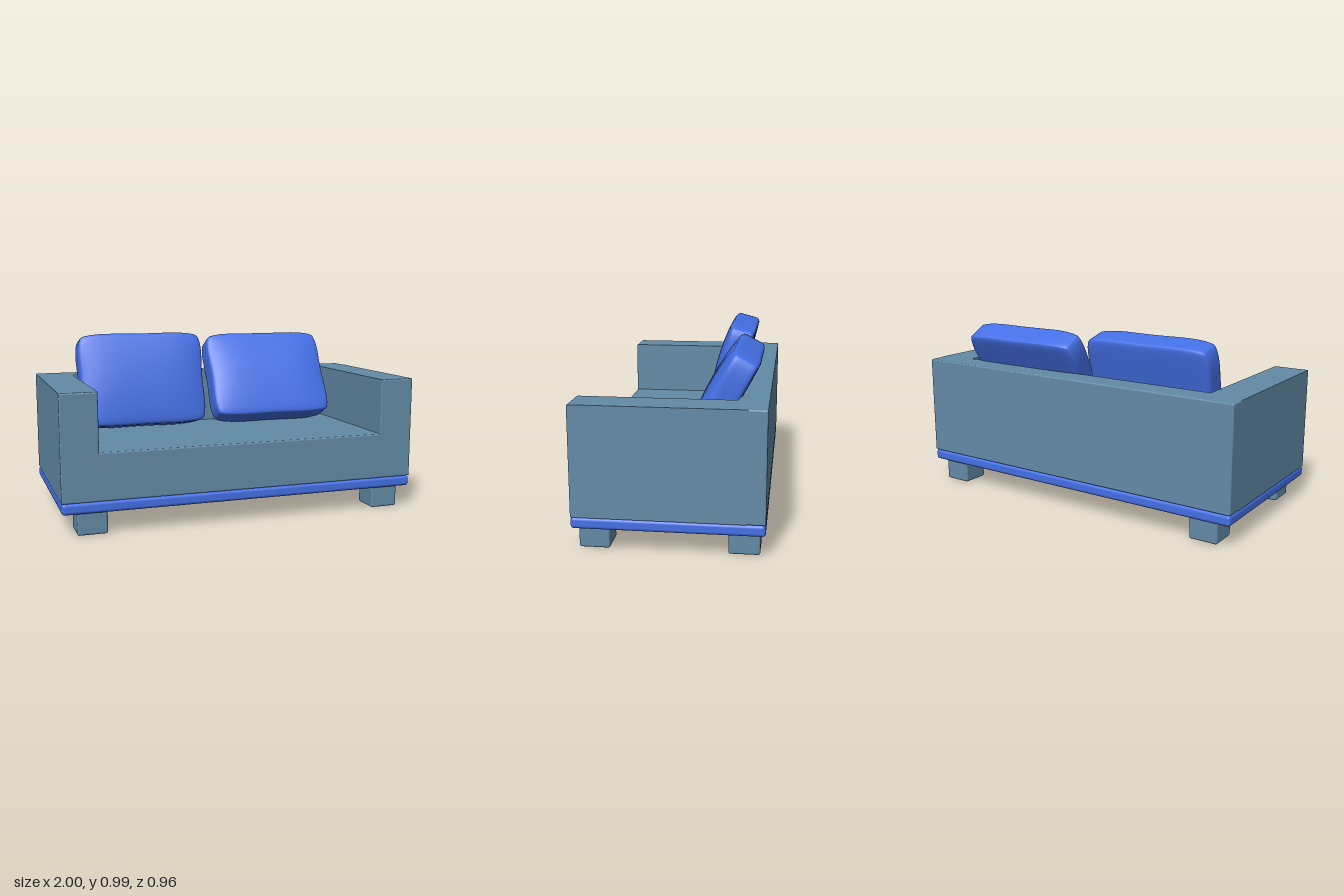
import * as THREE from 'three';
import { RoundedBoxGeometry } from 'three/addons/geometries/RoundedBoxGeometry.js';
import { mergeVertices } from 'three/addons/utils/BufferGeometryUtils.js';

const fabric = new THREE.MeshStandardMaterial({ color: 0x638ba7 });
const blue = new THREE.MeshStandardMaterial({ color: 0x4470e6 });

// Soft square cushion: a rounded box with pinched corners, hollow edges and a full front
function cushionGeometry(w, h, t) {
  const geo = new THREE.BoxGeometry(2, 2, 2, 20, 16, 10);
  geo.deleteAttribute('uv');
  geo.deleteAttribute('normal');
  const half = new THREE.Vector3(w / 2, h / 2, t / 2);
  const r = 0.022;
  const core = half.clone().subScalar(r);
  const coreMin = core.clone().negate();
  const pos = geo.attributes.position;
  const p = new THREE.Vector3();
  const c = new THREE.Vector3();
  const ease = (s) => Math.sin(s * Math.PI / 2);
  for (let i = 0; i < pos.count; i++) {
    p.fromBufferAttribute(pos, i);
    p.set(ease(p.x), ease(p.y), ease(p.z)).multiply(half);
    c.copy(p).clamp(coreMin, core);
    p.sub(c).setLength(r).add(c);
    const u = Math.abs(p.x / half.x), v = Math.abs(p.y / half.y);
    const x = p.x * (0.975 + 0.08 * v ** 2 - 0.115 * v ** 4);
    const y = p.y * (0.985 + 0.06 * u ** 2 - 0.115 * u ** 4);
    const bulge = p.z > 0 ? 0.026 * (1 - u ** 4) * (1 - v ** 2) : 0;
    const z = p.z * (1 - 0.16 * u ** 6 - 0.04 * v ** 6) + bulge;
    pos.setXYZ(i, x, y, z);
  }
  const smooth = mergeVertices(geo);
  smooth.computeVertexNormals();
  return smooth;
}

export function createModel() {
  const sofa = new THREE.Group();
  sofa.name = 'sofa';

  const add = (name, geo, mat, x, y, z) => {
    const mesh = new THREE.Mesh(geo, mat);
    mesh.name = name;
    mesh.position.set(x, y, z);
    sofa.add(mesh);
    return mesh;
  };

  // Feet
  const footGeo = new RoundedBoxGeometry(0.16, 0.13, 0.156, 3, 0.012);
  for (const [side, x] of [['left', 0.855], ['right', -0.84]]) {
    for (const [end, z] of [['Front', 0.373], ['Back', -0.373]]) {
      add(`${side}${end}Foot`, footGeo, fabric, x, 0.065, z);
    }
  }

  // Base board
  add('baseBoard', new RoundedBoxGeometry(2, 0.06, 0.956, 4, 0.018), blue, 0, 0.15, 0);

  // Seat and arms in one U-shaped section, its rear end buried in the backrest
  const b = 0.008;
  const profile = new THREE.Shape([
    [-1, 0.18], [1, 0.18], [1, 0.745], [0.803, 0.745],
    [0.803, 0.435], [-0.803, 0.435], [-0.803, 0.745], [-1, 0.745],
  ].map(([x, y]) => new THREE.Vector2(x, y)));
  const seatGeo = new THREE.ExtrudeGeometry(profile, {
    depth: 0.868 - 2 * b,
    bevelSize: b, bevelThickness: b, bevelOffset: -b, bevelSegments: 3,
  });
  add('seatAndArms', seatGeo, fabric, 0, 0, -0.39 + b);

  // Backrest
  add('backrest', new RoundedBoxGeometry(2, 0.565, 0.153, 3, 0.008), fabric, 0, 0.4625, -0.4015);

  // Loose cushions, each leaning back at its own angle
  const cushionGeo = cushionGeometry(0.752, 0.547, 0.155);
  add('rightCushion', cushionGeo, blue, -0.415, 0.712, -0.222).rotation.x = -0.26;
  add('leftCushion', cushionGeo, blue, 0.3825, 0.704, -0.2375).rotation.x = -0.5;

  return sofa;
}
